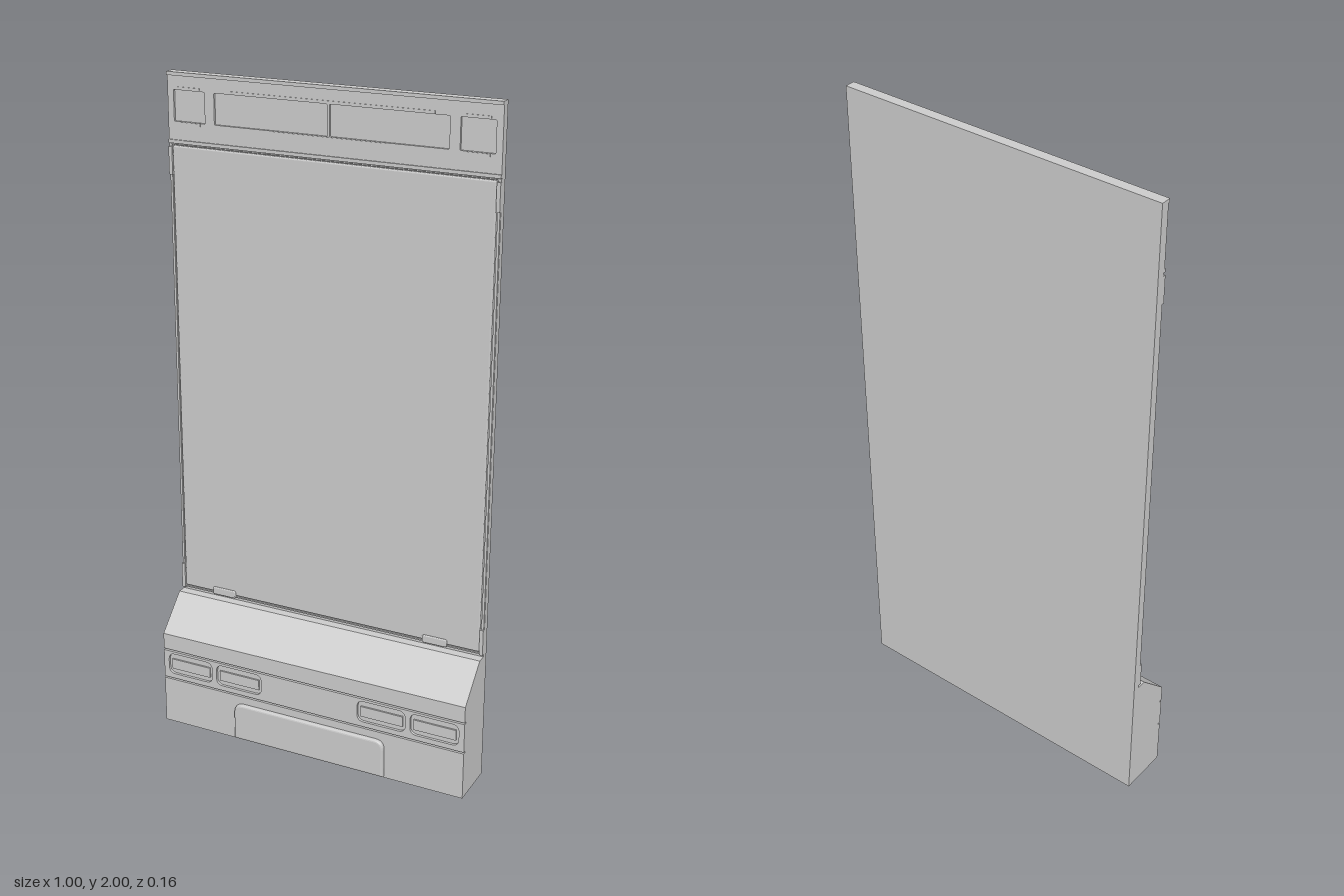
import * as THREE from 'three';

const BACK = -0.083, FACE = -0.055, BASE = 0.068;
const mat = new THREE.MeshStandardMaterial({ color: 0xcccccc });

export function createModel() {
  const group = new THREE.Group();

  const add = (name, geo, x = 0, y = 0, z = 0) => {
    const mesh = new THREE.Mesh(geo, mat);
    mesh.name = name;
    mesh.position.set(x, y, z);
    group.add(mesh);
    return mesh;
  };
  // Box given by its limits
  const box = (name, x0, x1, y0, y1, z0, z1) =>
    add(name, new THREE.BoxGeometry(x1 - x0, y1 - y0, z1 - z0), (x0 + x1) / 2, (y0 + y1) / 2, (z0 + z1) / 2);

  // Rounded rectangle outline; bottom corners may stay square
  const roundRect = (x0, x1, y0, y1, r, rb = r, P = THREE.Shape) => {
    const s = new P();
    s.moveTo(x0 + rb, y0);
    s.lineTo(x1 - rb, y0);
    if (rb) s.quadraticCurveTo(x1, y0, x1, y0 + rb);
    s.lineTo(x1, y1 - r);
    s.quadraticCurveTo(x1, y1, x1 - r, y1);
    s.lineTo(x0 + r, y1);
    s.quadraticCurveTo(x0, y1, x0, y1 - r);
    s.lineTo(x0, y0 + rb);
    if (rb) s.quadraticCurveTo(x0, y0, x0 + rb, y0);
    return s;
  };
  const extrude = (shape, depth, bevel = 0) => new THREE.ExtrudeGeometry(shape, {
    depth: depth - bevel, curveSegments: 6, bevelEnabled: bevel > 0,
    bevelThickness: bevel, bevelSize: bevel, bevelOffset: -bevel, bevelSegments: 3,
  });
  // Plate pierced by rounded openings
  const pierced = (name, x0, x1, y0, y1, z0, z1, holes, r) => {
    const s = roundRect(x0, x1, y0, y1, 0, 0);
    holes.forEach(h => s.holes.push(roundRect(...h, r, r, THREE.Path)));
    return add(name, extrude(s, z1 - z0), 0, 0, z0);
  };

  // Base cabinet with sloped top and two grooves across the front
  const profile = new THREE.Shape();
  [[BACK, 0], [BASE, 0], [BASE, 0.149], [0.06, 0.149], [0.06, 0.251], [BASE, 0.251],
    [BASE, 0.302], [-0.033, 0.402], [BACK, 0.402]]
    .forEach(([z, y], i) => (i ? profile.lineTo(-z, y) : profile.moveTo(-z, y)));
  const cabinet = extrude(profile, 1);
  cabinet.rotateY(Math.PI / 2);
  add('baseCabinet', cabinet, -0.5);

  // Band with four vent openings and a bar inside each
  const vents = [[-0.483, -0.33], [-0.315, -0.16], [0.16, 0.315], [0.33, 0.483]];
  pierced('ventBand', -0.5, 0.5, 0.154, 0.246, 0.06, BASE, vents.map(([a, b]) => [a, b, 0.17, 0.238]), 0.022);
  vents.forEach(([a, b]) => {
    box('ventBar', a + 0.01, b - 0.01, 0.185, 0.218, 0.058, 0.065);
  });

  // Raised plate on the lower front
  add('frontPlate', extrude(roundRect(-0.25, 0.25, 0.005, 0.125, 0.03, 0), 0.013, 0.007), 0, 0, BASE - 0.001);

  // Back sheet, screen and its slim border
  box('backSheet', -0.5, 0.5, 0.4, 1.8, BACK, -0.061);
  add('screen', extrude(roundRect(-0.488, 0.488, 0.418, 1.793, 0.004), 0.008, 0.004), 0, 0, -0.062);
  pierced('screenBorder', -0.499, 0.499, 0.41, 1.798, -0.062, -0.057, [[-0.492, 0.492, 0.414, 1.795]], 0.004);

  // Clips on the screen edges
  for (const s of [-1, 1]) {
    for (const y of [0.45, 1.75]) {
      add('sideClip', new THREE.BoxGeometry(0.011, 0.08, 0.014), s * 0.4945, y, -0.059);
    }
    add('lowerClip', extrude(roundRect(-0.039, 0.039, 0.41, 0.434, 0.006), 0.012, 0.003), s * 0.35, 0, -0.061);
  }

  // Header panel with recessed windows
  const windows = [[-0.481, -0.382], [-0.352, -0.004], [0.004, 0.352], [0.382, 0.481]];
  box('headerBack', -0.5, 0.5, 1.798, 2, BACK, -0.064);
  pierced('headerFace', -0.5, 0.5, 1.81, 1.99, -0.064, FACE - 0.002,
    windows.map(([a, b]) => [a, b, 1.862, 1.95]), 0.003);
  box('headerTopLip', -0.5, 0.5, 1.99, 2, -0.064, -0.052);
  box('headerBottomLip', -0.5, 0.5, 1.8, 1.81, -0.064, -0.053);

  // Narrow trims above and below the windows
  const trims = [[-0.31, 0.31, 1.955], [-0.17, 0.17, 1.857]];
  for (const s of [-1, 1]) for (const y of [1.955, 1.857]) trims.push([s * 0.4315 - 0.035, s * 0.4315 + 0.035, y]);
  trims.forEach(([a, b, y]) => box('windowTrim', a, b, y - 0.004, y + 0.004, -0.064, FACE));

  return group;
}
